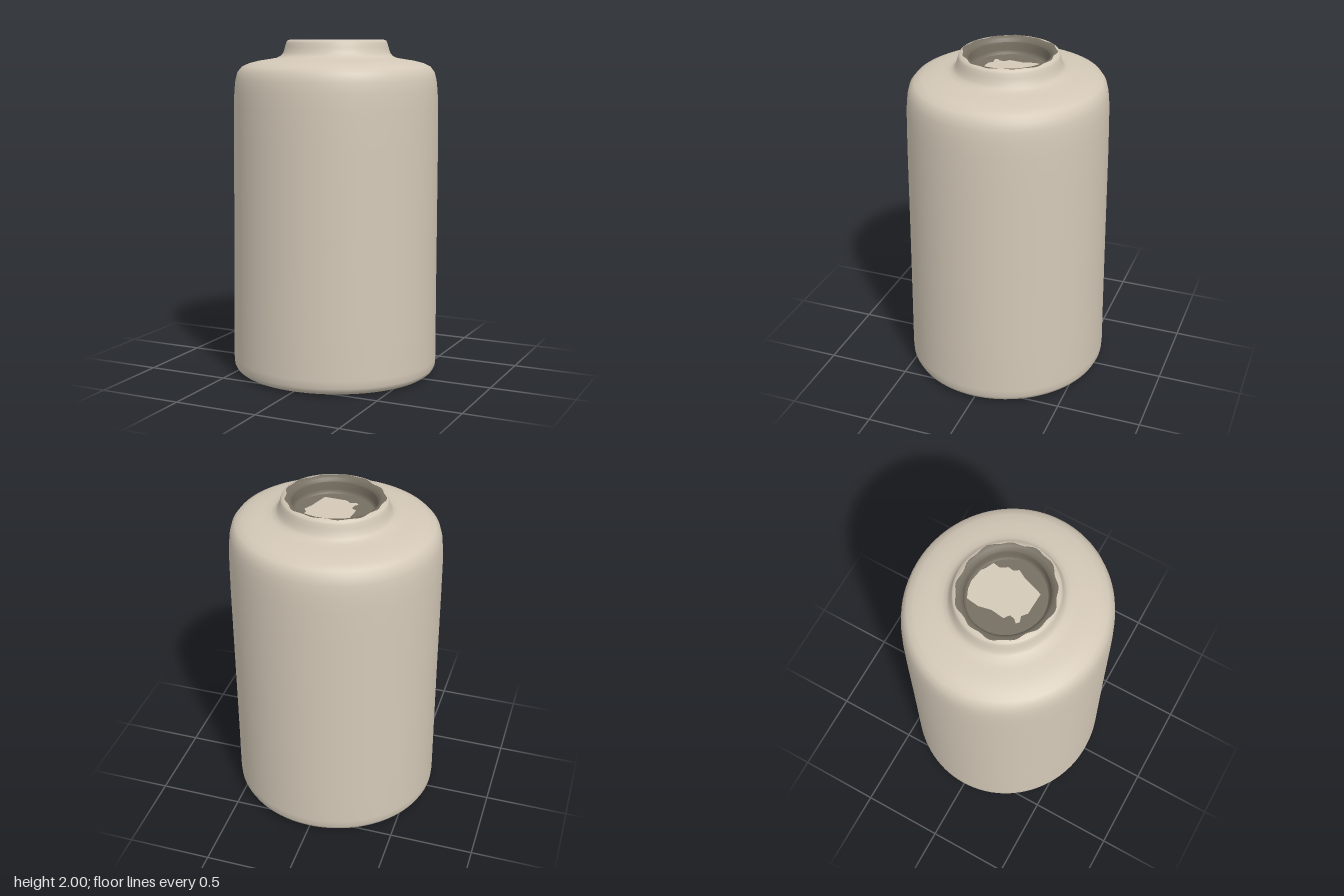
import * as THREE from 'three';

const clay = new THREE.MeshStandardMaterial({ color: 0xd4c9b8 });
clay.name = 'pale clay';
const dark = new THREE.MeshStandardMaterial({ color: 0x766f62 });
dark.name = 'dark clay';

const { smoothstep, clamp } = THREE.MathUtils;

// Revolve [radius, y] points; the section grows more oval upward and the neck sits off centre
function turned(name, points, material) {
  const geo = new THREE.LatheGeometry(points.map(([r, y]) => new THREE.Vector2(r, y)), 96);
  const pos = geo.attributes.position;
  for (let i = 0; i < pos.count; i++) {
    const x = pos.getX(i), y = pos.getY(i), z = pos.getZ(i);
    const oval = 0.968 - 0.022 * clamp(y / 1.6, 0, 1);
    const lean = smoothstep(y, 0, 1.4);
    const neck = smoothstep(y, 1.8, 1.9);
    // The ring where the two colours meet on top of the neck is uneven
    const a = Math.atan2(z, x);
    const uneven = y === 2 ? 1 + 0.02 * Math.sin(5 * a) + 0.02 * Math.sin(13 * a + 1) : 1;
    pos.setX(i, x * uneven + 0.004 * lean + 0.003 * neck);
    pos.setZ(i, z * uneven * oval - 0.003 * lean - 0.008 * neck);
  }
  const mesh = new THREE.Mesh(geo, material);
  mesh.name = name;
  return mesh;
}

export function createModel() {
  const group = new THREE.Group();
  group.name = 'jar';

  // Flat underside
  group.add(turned('base', [[0, 0.014], [0.3, 0.01], [0.56, 0]], clay));

  // Outer wall, rounded shoulder and flared neck
  group.add(turned('body', [
    [0.56, 0], [0.585, 0.006], [0.606, 0.022], [0.618, 0.045], [0.621, 0.09],
    [0.619, 0.4], [0.617, 0.9], [0.616, 1.4], [0.614, 1.6], [0.61, 1.7],
    [0.603, 1.765], [0.59, 1.812], [0.565, 1.843], [0.522, 1.863], [0.46, 1.878],
    [0.4, 1.887], [0.36, 1.894], [0.335, 1.906], [0.32, 1.925], [0.311, 1.955],
    [0.304, 1.98], [0.297, 1.995], [0.28, 2],
  ], clay));

  // Bare lip of the neck
  group.add(turned('lip', [[0.28, 2], [0.264, 1.998], [0.25, 1.988], [0.242, 1.972]], dark));

  // Inside of the neck and the shallow floor that closes it
  group.add(turned('neckInside', [
    [0.242, 1.972], [0.239, 1.95], [0.239, 1.925], [0.236, 1.91], [0.228, 1.902],
  ], dark));
  group.add(turned('neckFloor', [[0.228, 1.902], [0.1, 1.9], [0, 1.9]], dark));

  // Ragged pale patch on the floor
  const outline = [
    [-0.1, -0.195], [-0.05, -0.217], [0, -0.225], [0.08, -0.212], [0.1, -0.195],
    [0.148, -0.172], [0.14, -0.13], [0.165, -0.09], [0.16, -0.06], [0.178, -0.03],
    [0.15, 0.02], [0.13, 0.08], [0.11, 0.135], [-0.02, 0.13], [-0.05, 0.105],
    [-0.085, 0.115], [-0.1, 0.1], [-0.08, 0.08], [-0.075, 0.05], [-0.105, 0.03],
    [-0.095, -0.05], [-0.11, -0.12],
  ];
  const shape = new THREE.Shape(outline.map(([x, z]) => new THREE.Vector2(x, -z)));
  const patchGeo = new THREE.ShapeGeometry(shape);
  patchGeo.rotateX(-Math.PI / 2);
  const patch = new THREE.Mesh(patchGeo, clay);
  patch.position.y = 1.906;
  patch.name = 'floorPatch';
  group.add(patch);

  return group;
}
